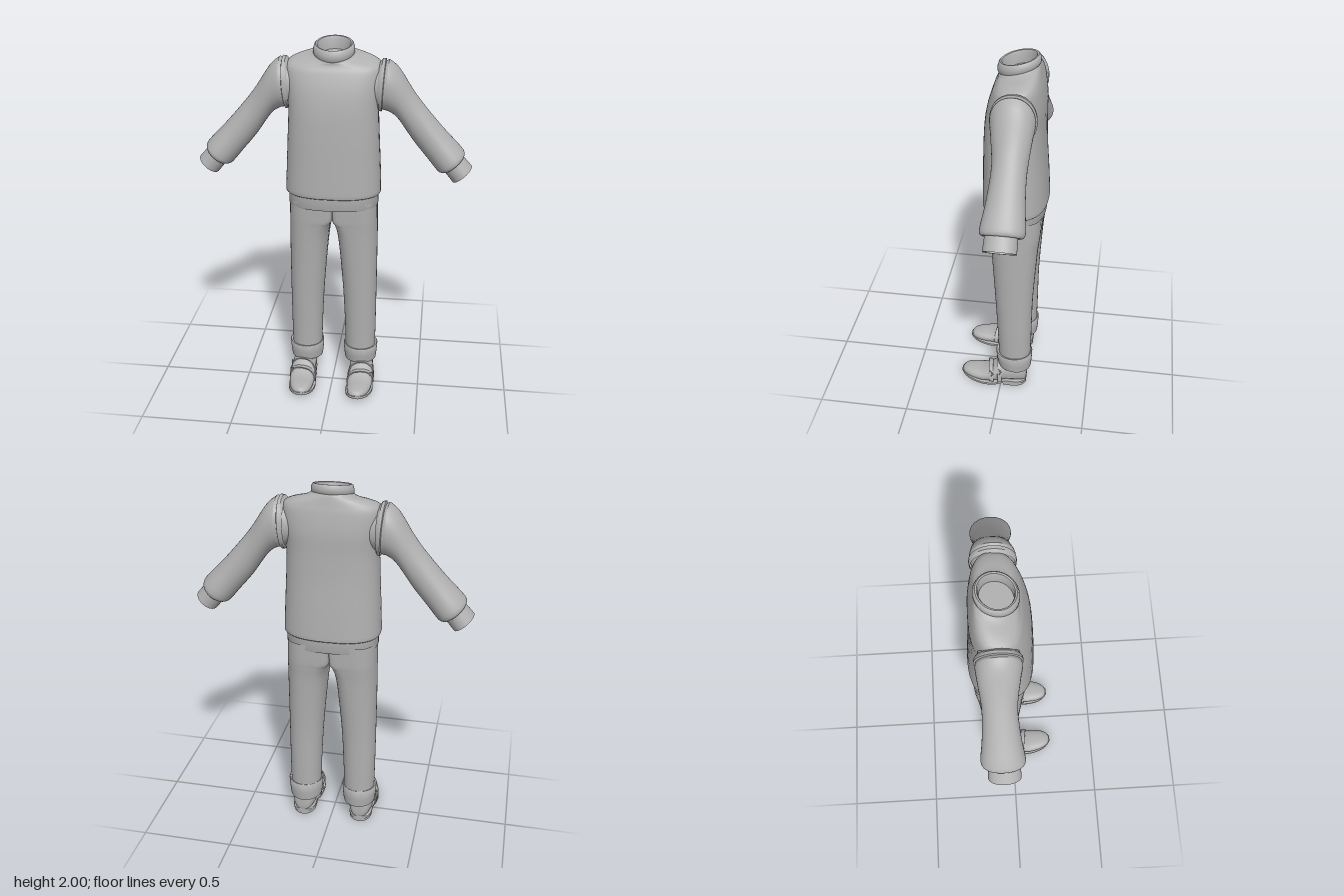
import * as THREE from 'three';
import { toCreasedNormals } from 'three/addons/utils/BufferGeometryUtils.js';

const cloth = new THREE.MeshStandardMaterial({ color: 0xb0b0b0, side: THREE.DoubleSide });
cloth.name = 'plain grey';

// Catmull-Rom blend between rows of numbers
function smooth(rows, steps) {
  const out = [];
  for (let i = 0; i < rows.length - 1; i++) {
    const a = rows[Math.max(i - 1, 0)], b = rows[i], c = rows[i + 1], d = rows[Math.min(i + 2, rows.length - 1)];
    for (let s = 0; s < steps; s++) {
      const t = s / steps;
      out.push(b.map((p, k) => p + 0.5 * t * (c[k] - a[k] + t * (2 * a[k] - 5 * p + 4 * c[k] - d[k] + t * (3 * (p - c[k]) + d[k] - a[k])))));
    }
  }
  out.push(rows[rows.length - 1]);
  return out;
}

// Skin over rings; ring = [cx,cy,cz, ux,uy,uz, vx,vy,vz, nPlus, nMinus] (superellipse powers on either side of u)
function loft(rings, seg = 40, crease = 0.7) {
  const pos = [], idx = [];
  for (const r of rings) {
    for (let j = 0; j < seg; j++) {
      const t = (j / seg) * Math.PI * 2, c = Math.cos(t), s = Math.sin(t);
      const n = c >= 0 ? r[9] : r[10];
      const a = Math.sign(c) * Math.abs(c) ** (2 / n), b = Math.sign(s) * Math.abs(s) ** (2 / n);
      for (let k = 0; k < 3; k++) pos.push(r[k] + a * r[3 + k] + b * r[6 + k]);
    }
  }
  for (let i = 0; i < rings.length - 1; i++) {
    for (let j = 0; j < seg; j++) {
      const a = i * seg + j, b = i * seg + ((j + 1) % seg);
      idx.push(a, a + seg, b, b, a + seg, b + seg);
    }
  }
  const g = new THREE.BufferGeometry();
  g.setAttribute('position', new THREE.Float32BufferAttribute(pos, 3));
  g.setIndex(idx);
  return toCreasedNormals(g, crease);
}

// Horizontal ring: height, x range, z range, tilt, powers
const flat = ([y, x0, x1, z0, z1, tilt = 0, n = 2, m = n]) =>
  [(x0 + x1) / 2, y, (z0 + z1) / 2, (x1 - x0) / 2, 0, 0, 0, tilt, (z1 - z0) / 2, n, m];
// Sleeve ring: upper edge point, lower edge point, z range
const across = ([tx, ty, bx, by, z0, z1]) =>
  [(tx + bx) / 2, (ty + by) / 2, (z0 + z1) / 2, (tx - bx) / 2, (ty - by) / 2, 0, 0, 0, (z1 - z0) / 2, 2.1, 2.1];
// Shoe ring: z, x centre, half width, bottom, top
const shoeRing = ([z, x, w, y0, y1]) => [x, (y0 + y1) / 2, z, w, 0, 0, 0, (y1 - y0) / 2, 0, 2.4, 2.4];

function add(parent, name, geometry) {
  const m = new THREE.Mesh(geometry, cloth);
  m.name = name;
  parent.add(m);
  return m;
}

function buildArm(side) {
  add(side, 'sleeve', loft(smooth([
    [0.2, 1.86, 0.2, 1.67, -0.165, 0.025],
    [0.272, 1.895, 0.258, 1.64, -0.18, 0.037],
    [0.29, 1.895, 0.285, 1.633, -0.182, 0.038],
    [0.34, 1.85, 0.335, 1.595, -0.175, 0.025],
    [0.43, 1.715, 0.42, 1.475, -0.163, 0.008],
    [0.56, 1.56, 0.495, 1.385, -0.17, 0.018],
    [0.66, 1.455, 0.545, 1.325, -0.183, 0.034],
    [0.688, 1.42, 0.563, 1.312, -0.18, 0.034],
    [0.685, 1.4, 0.582, 1.312, -0.165, 0.02],
    [0.66, 1.39, 0.59, 1.33, -0.14, 0]], 5).map(across)));
  add(side, 'armholeSeam', loft([
    [0.235, 1.885, 0.23, 1.645, -0.18, 0.035],
    [0.25, 1.903, 0.236, 1.632, -0.187, 0.042],
    [0.266, 1.905, 0.25, 1.63, -0.188, 0.043],
    [0.27, 1.89, 0.255, 1.645, -0.177, 0.033]].map(across)));
  add(side, 'wristband', loft([
    [0.67, 1.41, 0.575, 1.33, -0.15, 0.008],
    [0.732, 1.342, 0.634, 1.258, -0.152, 0.012],
    [0.724, 1.336, 0.64, 1.264, -0.144, 0.004],
    [0.69, 1.37, 0.61, 1.3, -0.14, 0],
    [0.65, 1.335, 0.65, 1.335, -0.07, -0.07]].map(across)));
}

function buildLeg(side) {
  add(side, 'trouserLeg', loft(smooth([
    [1.15, 0, 0.238, -0.208, 0.075, 0, 2.5, 9],
    [1.04, 0, 0.24, -0.204, 0.068, 0, 2.5, 8],
    [1.0, 0.012, 0.241, -0.2, 0.064, 0, 2.4, 4.5],
    [0.9, 0.028, 0.243, -0.19, 0.056, 0, 2.2, 2.8],
    [0.6, 0.053, 0.243, -0.172, 0.036, 0, 2.2, 2.2],
    [0.35, 0.066, 0.242, -0.168, 0.022, 0, 2.2, 2.2],
    [0.18, 0.07, 0.24, -0.165, 0.015, 0, 2.2, 2.2]], 5).map(flat)));
  add(side, 'turnUp', loft([
    [0.222, 0.075, 0.237, -0.16, 0.01],
    [0.228, 0.062, 0.252, -0.172, 0.03],
    [0.222, 0.059, 0.255, -0.176, 0.033],
    [0.17, 0.062, 0.251, -0.173, 0.028, 0.005],
    [0.126, 0.067, 0.246, -0.168, 0.02, 0.008],
    [0.122, 0.075, 0.238, -0.16, 0.012, 0.008],
    [0.16, 0.08, 0.233, -0.155, 0.007],
    [0.17, 0.157, 0.157, -0.07, -0.07]].map(r => flat(r))));
}

function buildShoe(side) {
  const shoe = new THREE.Group();
  shoe.name = 'shoe';
  side.add(shoe);
  add(shoe, 'upper', loft(smooth([
    [-0.148, 0.166, 0.0, 0.07, 0.07],
    [-0.142, 0.166, 0.04, 0.03, 0.13],
    [-0.1, 0.166, 0.062, 0.026, 0.15],
    [-0.03, 0.167, 0.066, 0.022, 0.15],
    [0.01, 0.168, 0.068, 0.016, 0.135],
    [0.06, 0.168, 0.07, 0.01, 0.1],
    [0.11, 0.167, 0.07, 0.01, 0.078],
    [0.17, 0.163, 0.06, 0.015, 0.074],
    [0.21, 0.16, 0.042, 0.022, 0.068],
    [0.228, 0.159, 0.02, 0.032, 0.056],
    [0.232, 0.159, 0, 0.044, 0.044]], 4).map(shoeRing), 28));
  add(shoe, 'ankle', loft([
    [0.06, 0.102, 0.231, -0.145, 0.03],
    [0.12, 0.105, 0.228, -0.143, 0.005],
    [0.2, 0.105, 0.225, -0.143, -0.005]].map(r => flat(r)), 28));

  // Sole outline drawn in x and z, then bent up at the toe and arch
  const spread = [[-0.145, 0.02], [-0.135, 0.045], [-0.09, 0.064], [-0.02, 0.064], [0.05, 0.074], [0.11, 0.077],
    [0.17, 0.066], [0.21, 0.046], [0.235, 0.016]];
  const outline = smooth(spread, 3);
  const mid = z => 0.167 - 0.008 * Math.max(0, z - 0.08) / 0.15;
  const rings = outline.map(([z, w]) => {
    const lift = z > 0.08 ? 0.028 * ((z - 0.08) / 0.155) ** 1.6 : z < 0.03 ? Math.min(0.018, (0.03 - z) * 0.3) : 0;
    return [mid(z), lift + 0.01, z, w, 0, 0, 0, 0.009, 0, 9, 9];
  });
  const cap = r => r.map((v, k) => (k === 3 || k === 7 ? 0 : v));
  add(shoe, 'sole', loft([cap(rings[0]), ...rings, cap(rings[rings.length - 1])], 28));

  const heelShape = new THREE.Shape();
  heelShape.moveTo(-0.06, 0.015);
  heelShape.lineTo(0.06, 0.015);
  heelShape.lineTo(0.062, 0.07);
  heelShape.bezierCurveTo(0.06, 0.17, -0.06, 0.17, -0.062, 0.07);
  const heel = new THREE.ExtrudeGeometry(heelShape, { depth: 0.03, bevelEnabled: false, curveSegments: 16 });
  heel.rotateX(-Math.PI / 2);
  add(shoe, 'heel', heel).position.set(0.166, 0, 0);

  // Instep straps, each with a small buckle on the outside
  for (const [z, top, w] of [[0.015, 0.136, 0.073], [0.063, 0.103, 0.074]]) {
    const strap = (dz, grow) => {
      const r = [];
      for (let i = 0; i <= 12; i++) {
        const a = (i / 12) * Math.PI, c = Math.cos(a), s = Math.sin(a);
        r.push([0.168 + (w + grow) * Math.sign(c) * Math.abs(c) ** 0.83, 0.035 + (top - 0.03 + grow) * s ** 0.83, z + dz - 0.012 * c,
          0, 0, 0.013, 0.004 * c, 0.004 * s, 0, 5, 5]);
      }
      return r;
    };
    add(shoe, 'strap', loft(strap(0, 0), 12));
    const frame = add(shoe, 'buckle', new THREE.TorusGeometry(0.016, 0.004, 6, 4));
    frame.geometry.rotateZ(Math.PI / 4);
    frame.position.set(0.168 + w * 0.86, 0.035 + (top - 0.03) * 0.62, z - 0.006);
    frame.rotation.set(-0.5, 1.0, 0);
  }
}

export function createModel() {
  const model = new THREE.Group();
  model.name = 'outfit';

  // Jumper: body, hem band and collar
  add(model, 'jumperBody', loft(smooth([
    [1.182, 0.235, -0.215, 0.092, 0, 2.5],
    [1.187, 0.253, -0.229, 0.112, 0, 2.5],
    [1.21, 0.256, -0.23, 0.115, 0, 2.5],
    [1.35, 0.25, -0.222, 0.112, 0, 2.5],
    [1.5, 0.242, -0.211, 0.108, 0, 2.6],
    [1.65, 0.236, -0.206, 0.1, 0, 2.7],
    [1.76, 0.244, -0.205, 0.082, 0, 2.8],
    [1.85, 0.25, -0.192, 0.055, -0.005, 2.8],
    [1.886, 0.238, -0.182, 0.04, -0.012, 2.6],
    [1.908, 0.19, -0.175, 0.035, -0.02, 2.3],
    [1.922, 0.13, -0.17, 0.035, -0.025, 2.1],
    [1.94, 0.095, -0.16, 0.03, -0.025, 2]], 4)
    .map(([y, w, z0, z1, t, n]) => flat([y, -w, w, z0, z1, t, n])), 56));
  add(model, 'hemBand', loft([
    [1.2, 0.242, -0.217, 0.098], [1.122, 0.243, -0.219, 0.1], [1.115, 0.24, -0.216, 0.097],
    [1.115, 0.225, -0.2, 0.07]].map(([y, w, z0, z1]) => flat([y, -w, w, z0, z1, 0, 2.5])), 56));
  add(model, 'collar', loft([
    [1.925, 0.1, -0.025], [1.936, 0.107, -0.025], [1.955, 0.107, -0.023], [1.974, 0.101, -0.021],
    [1.979, 0.095, -0.02], [1.977, 0.087, -0.02], [1.965, 0.082, -0.02], [1.91, 0.08, -0.02], [1.91, 0, 0]]
    .map(([y, r, t]) => flat([y, -r, r, -0.066 - r, -0.066 + r, t])), 40));

  // Mirrored limbs
  for (const s of [1, -1]) {
    const side = new THREE.Group();
    side.name = s > 0 ? 'leftSide' : 'rightSide';
    side.scale.x = s;
    buildArm(side);
    buildLeg(side);
    buildShoe(side);
    model.add(side);
  }
  return model;
}
